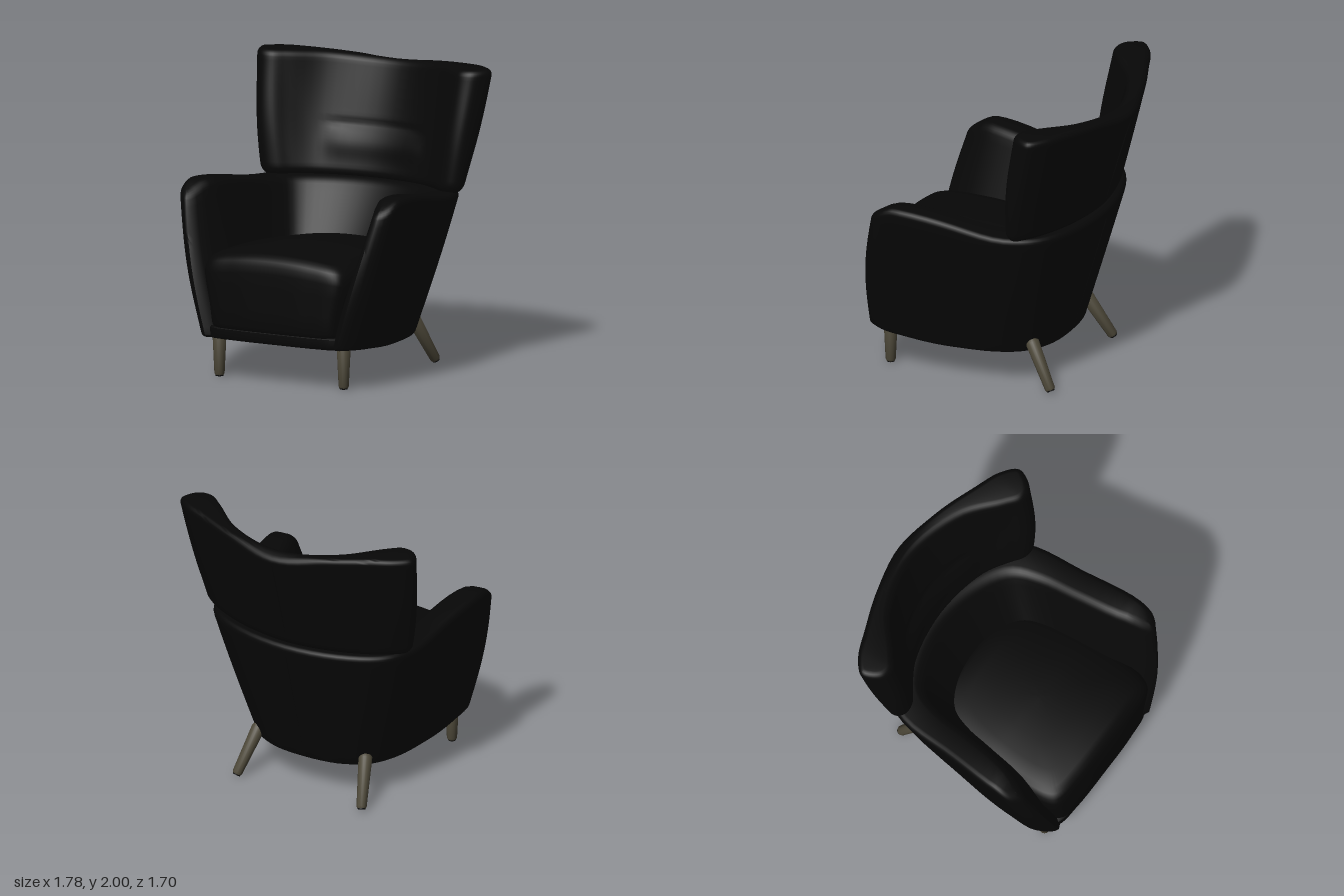
import * as THREE from 'three';
import { toCreasedNormals } from 'three/addons/utils/BufferGeometryUtils.js';

const N = 112;
const { lerp, smoothstep: smooth } = THREE.MathUtils;

// Closed outline from a half outline (back centre -> +x side -> front centre),
// pulled inwards by inset along its normals.
function outline(half, inset = 0) {
  const mirrored = half.slice(1, -1).reverse().map(([x, z]) => [-x, z]);
  const curve = new THREE.CatmullRomCurve3(
    [...half, ...mirrored].map(([x, z]) => new THREE.Vector3(x, 0, z)), true, 'centripetal');
  return Array.from({ length: N }, (_, i) => {
    const p = curve.getPoint(i / N);
    const t = curve.getTangent(i / N);
    return new THREE.Vector3(p.x - t.z * inset, 0, p.z + t.x * inset);
  });
}

const blend = (a, b, v) => a.map(([x, z], i) => [lerp(x, b[i][0], v), lerp(z, b[i][1], v)]);

// Skin a stack of rings; the ends are closed by strips from the back half to the front half.
function loft(rings) {
  const index = [];
  const quad = (a, b, c, d) => index.push(a, b, c, a, c, d);
  for (let j = 0; j < rings.length - 1; j++) {
    for (let i = 0; i < N; i++) {
      const a = j * N + i, b = j * N + (i + 1) % N;
      quad(a, a + N, b + N, b);
    }
  }
  const top = (rings.length - 1) * N;
  for (let i = -N / 4; i < N / 4; i++) {
    const [a, b, c, d] = [i, i + 1, N / 2 - i - 1, N / 2 - i].map(k => (k + N) % N);
    quad(a, b, c, d);
    quad(top + a, top + d, top + c, top + b);
  }
  const geo = new THREE.BufferGeometry();
  geo.setAttribute('position', new THREE.Float32BufferAttribute(
    rings.flat().flatMap(p => [p.x, p.y, p.z]), 3));
  geo.setIndex(index);
  return toCreasedNormals(geo, 0.8);
}

// Heights (0..1) and insets of a wall with rounded bottom and top edges.
function roundedSteps(height, rBottom, rTop, middle) {
  const steps = [];
  const lo = rBottom / height, hi = 1 - rTop / height;
  for (let k = 0; k <= 6; k++) {
    const a = k / 6 * Math.PI / 2;
    steps.push([lo * (1 - Math.cos(a)), rBottom * (1 - Math.sin(a))]);
  }
  for (let k = 1; k < middle; k++) steps.push([lerp(lo, hi, k / middle), 0]);
  for (let k = 0; k <= 6; k++) {
    const a = k / 6 * Math.PI / 2;
    steps.push([hi + (1 - hi) * Math.sin(a), rTop * (1 - Math.cos(a))]);
  }
  return steps;
}

export function createModel() {
  const group = new THREE.Group();
  const fabric = new THREE.MeshStandardMaterial({ color: 0x070707 });
  fabric.name = 'black fabric';
  const wood = new THREE.MeshStandardMaterial({ color: 0x4c4738 });
  wood.name = 'grey brown wood';
  const add = (name, geo) => {
    const mesh = new THREE.Mesh(geo, fabric);
    mesh.name = name;
    group.add(mesh);
  };

  // Arms and lower back: one U-shaped wall, flaring upwards
  const shellBottom = [[0, -0.415], [0.25, -0.385], [0.43, -0.28], [0.53, -0.1], [0.585, 0.2],
    [0.61, 0.5], [0.6, 0.7], [0.5, 0.825],
    [0.34, 0.6], [0.27, 0.35], [0.23, 0.25], [0.18, 0.18], [0.1, 0.16], [0, 0.15]];
  const shellTop = [[0, -0.685], [0.4, -0.62], [0.66, -0.48], [0.765, -0.28], [0.8, 0.1],
    [0.835, 0.5], [0.815, 0.64], [0.735, 0.69],
    [0.65, 0.5], [0.6, 0.15], [0.57, -0.12], [0.5, -0.3], [0.29, -0.42], [0, -0.47]];
  const armHeight = z => 1.19 + 0.09 * smooth(z, -0.3, 0.5) - 0.08 * smooth(z, 0.51, 0.72);
  const shellRings = roundedSteps(0.95, 0.02, 0.05, 18).map(([v, inset]) =>
    outline(blend(shellBottom, shellTop, v), inset).map(p => {
      const bulge = Math.sin(Math.PI * v);
      const base = 0.24 + 0.035 * smooth(p.z, 0.2, 0.8);
      return new THREE.Vector3(p.x * (1 + 0.015 * bulge), lerp(base, armHeight(p.z), v),
        p.z + 0.04 * bulge * smooth(p.z, 0.4, 0.7));
    }));
  add('armsAndLowerBack', loft(shellRings));

  // Seat base with front rail
  const baseHalf = [[0, -0.39], [0.25, -0.36], [0.4, -0.27], [0.5, -0.1], [0.56, 0.2],
    [0.58, 0.5], [0.56, 0.68], [0.49, 0.8], [0.3, 0.83], [0, 0.835]];
  const baseRings = [[0.243, 0.02], [0.25, 0.006], [0.26, 0], [0.345, 0], [0.355, 0.012]]
    .map(([y, inset]) => outline(baseHalf, inset).map(p =>
      p.setY(y + (y < 0.3 ? 0.03 * smooth(p.z, 0.2, 0.8) : 0))));
  add('seatBase', loft(baseRings));

  // Seat cushion with a crowned top
  const seatHalf = [[0, -0.3], [0.3, -0.27], [0.46, -0.15], [0.54, 0.1], [0.57, 0.5],
    [0.545, 0.76], [0.5, 0.82], [0.3, 0.847], [0, 0.853]];
  const seatSteps = [[0.35, 0.97], [0.36, 0.985], [0.38, 0.995], [0.5, 1], [0.65, 1], [0.76, 1],
    [0.81, 0.993], [0.845, 0.97], [0.87, 0.925], [0.882, 0.86], [0.887, 0.7], [0.89, 0.45],
    [0.89, 0.2], [0.89, 0.03]];
  const seatRings = seatSteps.map(([y, s]) => outline(seatHalf).map(p => {
    const x = p.x * s * (0.9 + 0.1 * smooth(y, 0.36, 0.8));
    const z = 0.3 + (p.z - 0.3) * s;
    const drop = 0.055 * (x / 0.54) ** 2 + 0.03 * smooth(-z, -0.3, 0.3)
      + 0.015 * smooth(z, 0.6, 0.85);
    return new THREE.Vector3(x, y - drop * smooth(y, 0.5, 0.85), z);
  }));
  add('seatCushion', loft(seatRings));

  // Winged headrest
  const headBottom = [[0, -0.635], [0.3, -0.595], [0.52, -0.52], [0.68, -0.43], [0.76, -0.35],
    [0.755, -0.3], [0.7, -0.265], [0.62, -0.275], [0.54, -0.33], [0.36, -0.425], [0, -0.48]];
  const headTop = [[0, -0.86], [0.35, -0.785], [0.62, -0.685], [0.8, -0.61], [0.895, -0.52],
    [0.88, -0.45], [0.82, -0.38], [0.73, -0.37], [0.63, -0.44], [0.4, -0.63], [0, -0.74]];
  const headRings = roundedSteps(0.83, 0.075, 0.045, 30).map(([v, inset]) =>
    outline(blend(headBottom, headTop, v), inset).map((p, i) => {
      const rim = 2 - 0.05 * (1 - smooth(Math.abs(p.x), 0, 0.8))
        - 0.03 * smooth(-p.z, 0.76, 0.86);
      const y = lerp(1.17, rim, v);
      const bulge = Math.sin(Math.PI * v);
      // padded lower front with a stitched crease above it
      const isFront = Math.abs(i / N - 0.5) < 0.16;
      const pad = isFront ? (1 - smooth(Math.abs(p.x), 0.28, 0.42))
        * (0.02 * Math.exp(-(((y - 1.4) / 0.09) ** 2))
          - 0.012 * Math.exp(-(((y - 1.52) / 0.025) ** 2))) : 0;
      // wing front stays full below
      const wing = 0.025 * bulge * smooth(p.z, -0.45, -0.3);
      return new THREE.Vector3(p.x * (1 + 0.018 * bulge), y, p.z + pad + wing);
    }));
  add('headrest', loft(headRings));

  // Centre seams on the back
  const seam = (name, a, b) => add(name, new THREE.TubeGeometry(
    new THREE.LineCurve3(new THREE.Vector3(...a), new THREE.Vector3(...b)), 8, 0.006, 6));
  seam('lowerBackSeam', [0, 0.27, -0.42], [0, 1.11, -0.662]);
  seam('headrestSeam', [0, 1.26, -0.658], [0, 1.87, -0.842]);

  // Tapered legs with dark glides
  const up = new THREE.Vector3(0, 1, 0);
  const leg = (name, top, foot) => {
    const a = new THREE.Vector3(...top), b = new THREE.Vector3(...foot);
    const dir = a.clone().sub(b), len = dir.length();
    const part = new THREE.Group();
    part.name = name;
    const profile = [[0, 0], [0.029, 0], [0.034, 0.012], [0.046, len - 0.025],
      [0.037, len - 0.006], [0, len]].map(([r, y]) => new THREE.Vector2(r, y));
    const shaft = new THREE.Mesh(toCreasedNormals(new THREE.LatheGeometry(profile, 24), 0.6), wood);
    shaft.name = 'shaft';
    const glide = new THREE.Mesh(new THREE.CylinderGeometry(0.027, 0.026, 0.009, 24), fabric);
    glide.name = 'glide';
    glide.position.y = -0.003;
    part.add(shaft, glide);
    part.position.copy(b);
    part.quaternion.setFromUnitVectors(up, dir.normalize());
    group.add(part);
  };
  for (const [side, s] of [['left', 1], ['right', -1]]) {
    leg(side + 'FrontLeg', [s * 0.48, 0.295, 0.687], [s * 0.48, 0.008, 0.687]);
    leg(side + 'BackLeg', [s * 0.405, 0.33, -0.303], [s * 0.478, 0.02, -0.482]);
  }
  return group;
}
